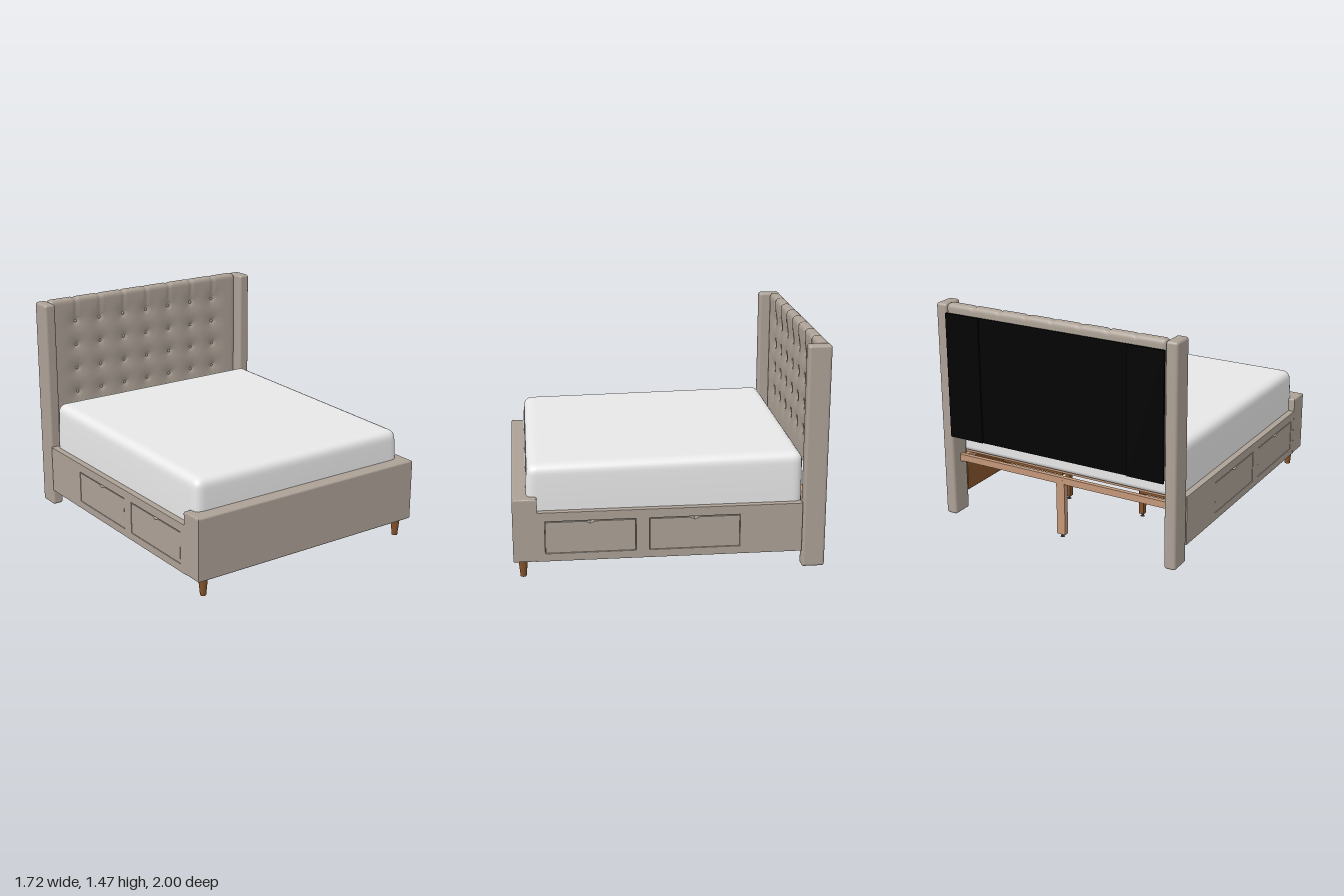
import * as THREE from 'three';
import { RoundedBoxGeometry } from 'three/addons/geometries/RoundedBoxGeometry.js';
import { mergeVertices } from 'three/addons/utils/BufferGeometryUtils.js';

const material = (name, color) => {
  const m = new THREE.MeshStandardMaterial({ color });
  m.name = name;
  return m;
};

// Dense smooth box with rounded edges; adjust(v) may then move each point
function softBox([w, h, d], segments, r, flatBottom, adjust) {
  let geo = new THREE.BoxGeometry(w, h, d, ...segments);
  geo.deleteAttribute('normal');
  geo.deleteAttribute('uv');
  geo = mergeVertices(geo);
  const max = new THREE.Vector3(w / 2 - r, h / 2 - r, d / 2 - r);
  const min = max.clone().negate();
  if (flatBottom) min.y = -h / 2;
  const p = geo.attributes.position;
  const v = new THREE.Vector3();
  const inner = new THREE.Vector3();
  for (let i = 0; i < p.count; i++) {
    v.fromBufferAttribute(p, i);
    inner.copy(v).clamp(min, max);
    if (v.distanceTo(inner) > r) v.sub(inner).setLength(r).add(inner);
    adjust(v);
    p.setXYZ(i, v.x, v.y, v.z);
  }
  geo.computeVertexNormals();
  return geo;
}

export function createModel() {
  const model = new THREE.Group();
  model.name = 'storageBed';
  const fabric = material('taupeFabric', 0xaca196);
  const white = material('mattressWhite', 0xeaeaea);
  const wood = material('brownWood', 0x84532b);
  const paleWood = material('paleWood', 0xc29778);
  const black = material('blackBacking', 0x020202);
  const metal = material('footMetal', 0x55504b);

  const add = (name, geometry, mat, x = 0, y = 0, z = 0, parent = model) => {
    const mesh = new THREE.Mesh(geometry, mat);
    mesh.name = name;
    mesh.position.set(x, y, z);
    parent.add(mesh);
  };
  // Box given by its limits on each axis, optionally with rounded edges
  const block = (name, mat, [x0, x1], [y0, y1], [z0, z1], r = 0, parent = model) => {
    const s = [x1 - x0, y1 - y0, z1 - z0];
    const geo = r ? new RoundedBoxGeometry(...s, 4, r) : new THREE.BoxGeometry(...s);
    add(name, geo, mat, (x0 + x1) / 2, (y0 + y1) / 2, (z0 + z1) / 2, parent);
  };
  const span = (side, a, b) => (side > 0 ? [a, b] : [-b, -a]);
  const polygon = (points) => new THREE.Shape(points.map(([x, y]) => new THREE.Vector2(x, y)));

  // Tufted headboard with a dimple at each button and pleats over the top edge
  const columns = [-0.58, -0.387, -0.193, 0, 0.193, 0.387, 0.58];
  const rows = [1.3, 1.13, 0.957, 0.785];
  const H = { w: 1.57, h: 0.895, d: 0.075, y: 1.0235, z: -0.9445 };
  const dent = (x, y) => {
    let d = 0;
    for (const cx of columns) {
      for (const cy of rows) {
        const r = Math.hypot(x - cx, y - cy);
        d += 0.014 * Math.exp(-((r / 0.018) ** 2)) + 0.013 * Math.exp(-((r / 0.07) ** 2));
      }
      if (y > 1.3) d += 0.008 * Math.exp(-(((x - cx) / 0.012) ** 2));
    }
    return d;
  };
  const pad = softBox([H.w, H.h, H.d], [120, 72, 6], 0.03, false, (v) => {
    const d = dent(v.x, v.y + H.y);
    v.z -= (v.z / H.d + 0.5) * d;
    if (v.y > H.h / 2 - 0.03) v.y -= d * 0.8;
  });
  add('headboardPad', pad, fabric, 0, H.y, H.z);

  const buttonGeo = new THREE.SphereGeometry(0.011, 12, 8).scale(1, 1, 0.6);
  for (const x of columns) for (const y of rows) {
    add('tuftButton', buttonGeo, fabric, x, y, H.z + H.d / 2 - 0.024);
  }

  // Black cloth on the back, doubled at both sides
  block('backCloth', black, [-0.78, 0.78], [0.575, 1.41], [-0.99, -0.982]);
  for (const s of [1, -1]) block('backClothFold', black, span(s, 0.53, 0.78), [0.575, 1.41], [-0.998, -0.99]);

  // Soft mattress, a little higher at the head and fuller at its base
  const mattress = softBox([1.63, 0.32, 1.75], [70, 16, 76], 0.055, true, (v) => {
    const lean = 1 - 0.014 * (v.y / 0.32 + 0.5) ** 2;
    v.x *= lean;
    if (v.z > 0) v.z *= lean;
    v.y -= v.z * 0.015 * (v.y / 0.32 + 0.5);
  });
  add('mattress', mattress, white, 0, 0.588, 0.039);

  // U-shaped footboard, drawn in plan and raised
  const b = 0.01;
  const plan = polygon([
    [-0.86 + b, -1 + b], [0.86 - b, -1 + b], [0.86 - b, -0.845 - b], [0.8 + b, -0.845 - b],
    [0.8 + b, -0.885 - b], [-0.8 - b, -0.885 - b], [-0.8 - b, -0.845 - b], [-0.86 + b, -0.845 - b],
  ]);
  const footGeo = new THREE.ExtrudeGeometry(plan, {
    depth: 0.415 - 2 * b, bevelEnabled: true, bevelSize: b, bevelThickness: b, bevelSegments: 3,
  });
  footGeo.rotateX(-Math.PI / 2);
  add('footboard', footGeo, fabric, 0, 0.12 + b, 0);
  block('footboardLining', wood, [-0.8, 0.8], [0.13, 0.425], [0.873, 0.885]);

  // Side rail with two drawer openings, drawn in the z-y plane
  const drawers = [[0.23, 0.8], [-0.43, 0.145]];
  const [dy0, dy1] = [0.172, 0.385];
  const bevel = 0.003;
  const rail = polygon([[-0.828, 0.123], [0.86, 0.123], [0.86, 0.442], [-0.828, 0.442]]);
  for (const [a, c] of drawers) {
    const [z0, z1, y0, y1] = [a - bevel, c + bevel, dy0 - bevel, dy1 + bevel];
    rail.holes.push(polygon([[z0, y0], [z0, y1], [z1, y1], [z1, y0]]));
  }
  const railGeo = new THREE.ExtrudeGeometry(rail, {
    depth: 0.039, bevelEnabled: true, bevelSize: bevel, bevelThickness: bevel, bevelSegments: 2,
  });
  railGeo.rotateY(-Math.PI / 2);
  // Drawer front with a small finger notch in its top edge
  const drawerFront = (a, c) => {
    const m = (a + c) / 2, g = 0.003;
    const shape = polygon([
      [a + g, dy0 + g], [c - g, dy0 + g], [c - g, dy1 - 0.006], [m + 0.03, dy1 - 0.006],
      [m, dy1 - 0.02], [m - 0.03, dy1 - 0.006], [a + g, dy1 - 0.006],
    ]);
    return new THREE.ExtrudeGeometry(shape, { depth: 0.04, bevelEnabled: false }).rotateY(-Math.PI / 2);
  };

  for (const s of [1, -1]) {
    block('headboardWing', fabric, span(s, 0.78, 0.86), [0.008, 1.465], [-0.983, -0.835], 0.018);
    add('sideRail', railGeo, fabric, s * 0.837 + 0.0195, 0, 0);
    block('railCore', fabric, span(s, 0.8, 0.816), [0.122, 0.444], [-0.83, 0.885]);
    block('railLining', wood, span(s, 0.79, 0.8), [0.13, 0.425], [-0.825, 0.873]);
    block('slatLedge', paleWood, span(s, 0.757, 0.79), [0.37, 0.405], [-0.91, 0.873]);

    for (const [a, c] of drawers) {
      const drawer = new THREE.Group();
      drawer.name = 'drawer';
      model.add(drawer);
      add('drawerFront', drawerFront(a, c), fabric, s * 0.837 + 0.02, 0, 0, drawer);
      const [z0, z1] = [a + 0.015, c - 0.015];
      block('drawerBottom', wood, span(s, 0.3, 0.79), [0.19, 0.2], [z0, z1], 0, drawer);
      block('drawerBack', wood, span(s, 0.3, 0.315), [0.18, 0.33], [z0, z1], 0, drawer);
      for (const z of [z0, z1 - 0.015]) {
        block('drawerSide', wood, span(s, 0.315, 0.79), [0.18, 0.33], [z, z + 0.015], 0, drawer);
      }
    }
    // Tapered front leg
    add('frontLeg', new THREE.CylinderGeometry(0.031, 0.019, 0.125, 20), wood, s * 0.787, 0.0625, 0.94);
  }

  // Slats on two cross beams
  const slatCount = 16;
  for (let i = 0; i < slatCount; i++) {
    const z = -0.79 + (i * 1.62) / (slatCount - 1);
    block('slat', paleWood, [-0.79, 0.79], [0.407, 0.425], [z - 0.033, z + 0.033]);
  }
  block('headBeam', paleWood, [-0.78, 0.78], [0.375, 0.42], [-0.912, -0.882]);
  for (const z of [0.09, -0.375]) {
    block('crossBeam', wood, [-0.79, 0.79], [0.35, 0.407], [z - 0.017, z + 0.017]);
  }

  // Support legs with small levelling feet
  const supports = [[-0.3, -0.375, 0.018], [0.275, -0.375, 0.018], [0, 0.09, 0.018], [0, -0.895, 0.03]];
  for (const [x, z, half] of supports) {
    const mat = half > 0.02 ? paleWood : wood;
    block('supportLeg', mat, [x - half, x + half], [0.022, 0.4], [z - 0.018, z + 0.018]);
    add('footStem', new THREE.CylinderGeometry(0.005, 0.005, 0.02, 10), metal, x, 0.014, z);
    add('footDisc', new THREE.CylinderGeometry(0.012, 0.014, 0.006, 14), metal, x, 0.003, z);
  }
  return model;
}
